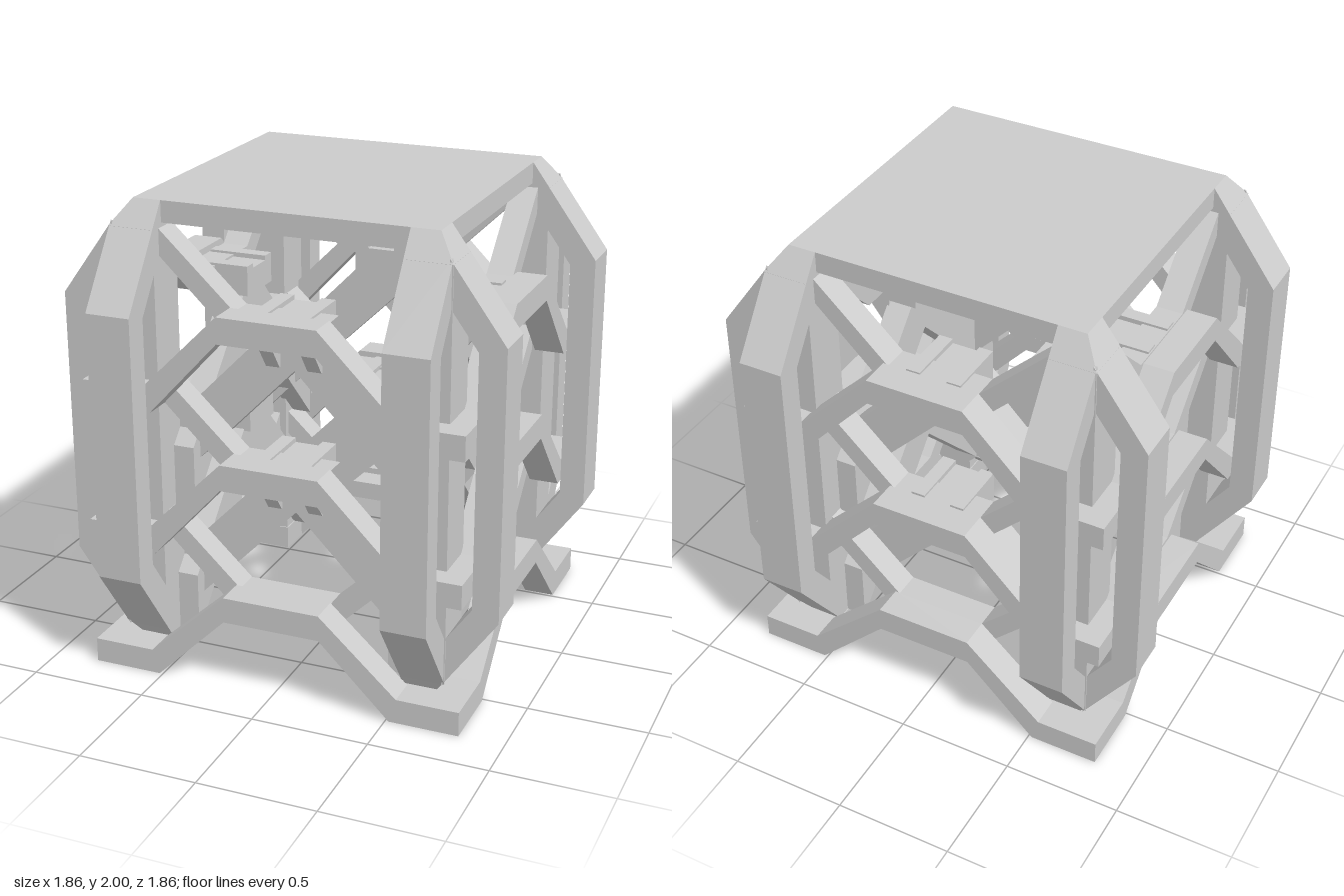
import * as THREE from 'three';

const mat = new THREE.MeshStandardMaterial({ color: 0xcccccc, flatShading: true });

function add(parent, name, geo) {
  const mesh = new THREE.Mesh(geo, mat);
  mesh.name = name;
  parent.add(mesh);
}

// Flat outline in x/y, given thickness from z0 to z1
function slab(points, z0, z1) {
  const shape = new THREE.Shape(points.map(([x, y]) => new THREE.Vector2(x, y)));
  return new THREE.ExtrudeGeometry(shape, { depth: z1 - z0, bevelEnabled: false }).translate(0, 0, z0);
}

// Same, with the outline lying in z/y and the thickness along x
const sideSlab = (points, x0, x1) => slab(points, -x1, -x0).rotateY(-Math.PI / 2);

// Completes a left-right symmetric outline from its +x half
const mirrored = (half) => [...half, ...half.map(([x, y]) => [-x, y]).reverse()];

function box(x0, x1, y0, y1, z0, z1) {
  return new THREE.BoxGeometry(x1 - x0, y1 - y0, z1 - z0)
    .translate((x0 + x1) / 2, (y0 + y1) / 2, (z0 + z1) / 2);
}

// Raised outer band: corner foot, sloping leg, level middle
const archBand = (foot, top) => slab(mirrored([
  [0.21, top - 0.11], [0.515, foot], [0.81, foot],
  [0.81, foot + 0.105], [0.545, foot + 0.105], [0.21, top],
]), 0.68, 0.81);

// Inner band that dips from the posts to the level middle
const dipBand = (top) => slab(mirrored([
  [0.24, top - 0.1], [0.56, top + 0.21], [0.56, top + 0.32], [0.2, top - 0.02],
]), 0.55, 0.665);

// Innermost pointed brace between two neighbouring posts
const gableBrace = (apex) => slab([
  [0, apex], [0.6, apex - 0.61], [0.6, apex - 0.34], [0.02, apex + 0.25],
  [-0.02, apex + 0.25], [-0.6, apex - 0.34], [-0.6, apex - 0.61],
], 0.43, 0.54);

// Small forked bracket joining the brace to the bands
function bracket(parent, top) {
  const g = new THREE.Group();
  g.name = 'bracket';
  g.position.y = top;
  parent.add(g);
  add(g, 'bracketBlock', box(-0.07, 0.07, -0.14, -0.03, 0.4, 0.6));
  add(g, 'bracketTongue', sideSlab(
    [[0.53, -0.13], [0.53, -0.21], [0.55, -0.21], [0.62, -0.13]], -0.06, 0.06));
  for (const s of [-1, 1]) {
    add(g, 'bracketProng', sideSlab(
      [[0.4, -0.01], [0.4, -0.14], [0.53, -0.14], [0.53, -0.27], [0.55, -0.27],
        [0.66, -0.12], [0.66, -0.01]],
      s * 0.09 - 0.03, s * 0.09 + 0.03));
  }
}

// Corner post whose outer faces taper at both ends: [height, outer edge]
function cornerPost() {
  const levels = [[0.1, 0.665], [0.175, 0.715], [1.897, 0.715], [2, 0.64]];
  const geo = new THREE.BoxGeometry(1, 3, 1, 1, 3, 1);
  const p = geo.attributes.position;
  for (let i = 0; i < p.count; i++) {
    const [y, outer] = levels[Math.round(p.getY(i) + 1.5)];
    p.setXYZ(i, p.getX(i) > 0 ? outer : 0.52, y, p.getZ(i) > 0 ? outer : 0.52);
  }
  return geo;
}

// Bent outer rail of a corner post
const railOutline = [
  [0.7, 1.917], [0.93, 1.6], [0.93, 0.47], [0.7, 0.152],
  [0.7, 0.345], [0.82, 0.51], [0.82, 1.57], [0.7, 1.735],
];

export function createModel() {
  const model = new THREE.Group();
  model.name = 'stackedFrame';

  add(model, 'topPlate', box(-0.64, 0.64, 1.91, 2, -0.64, 0.64));

  // Four sides, each with the corner at its +x end
  for (let i = 0; i < 4; i++) {
    const side = new THREE.Group();
    side.name = 'side' + (i + 1);
    side.rotation.y = i * Math.PI / 2;
    model.add(side);

    for (const [foot, top] of [[0, 0.41], [0.555, 0.995], [1.17, 1.61]]) {
      add(side, 'archBand', archBand(foot, top));
      add(side, 'dipBand', dipBand(top));
      if (foot > 0) bracket(side, top);
    }

    // The upper brace sits a little lower on the left and right sides
    add(side, 'gableBrace', gableBrace(0.715));
    add(side, 'gableBrace', gableBrace(i % 2 ? 1.295 : 1.33));

    add(side, 'cornerFoot', box(0.515, 0.69, 0, 0.105, 0.515, 0.69));
    add(side, 'cornerPost', cornerPost());
    add(side, 'cornerRail', slab(railOutline, 0.52, 0.71));
    add(side, 'cornerRail', sideSlab(railOutline, 0.52, 0.71));
  }

  return model;
}
